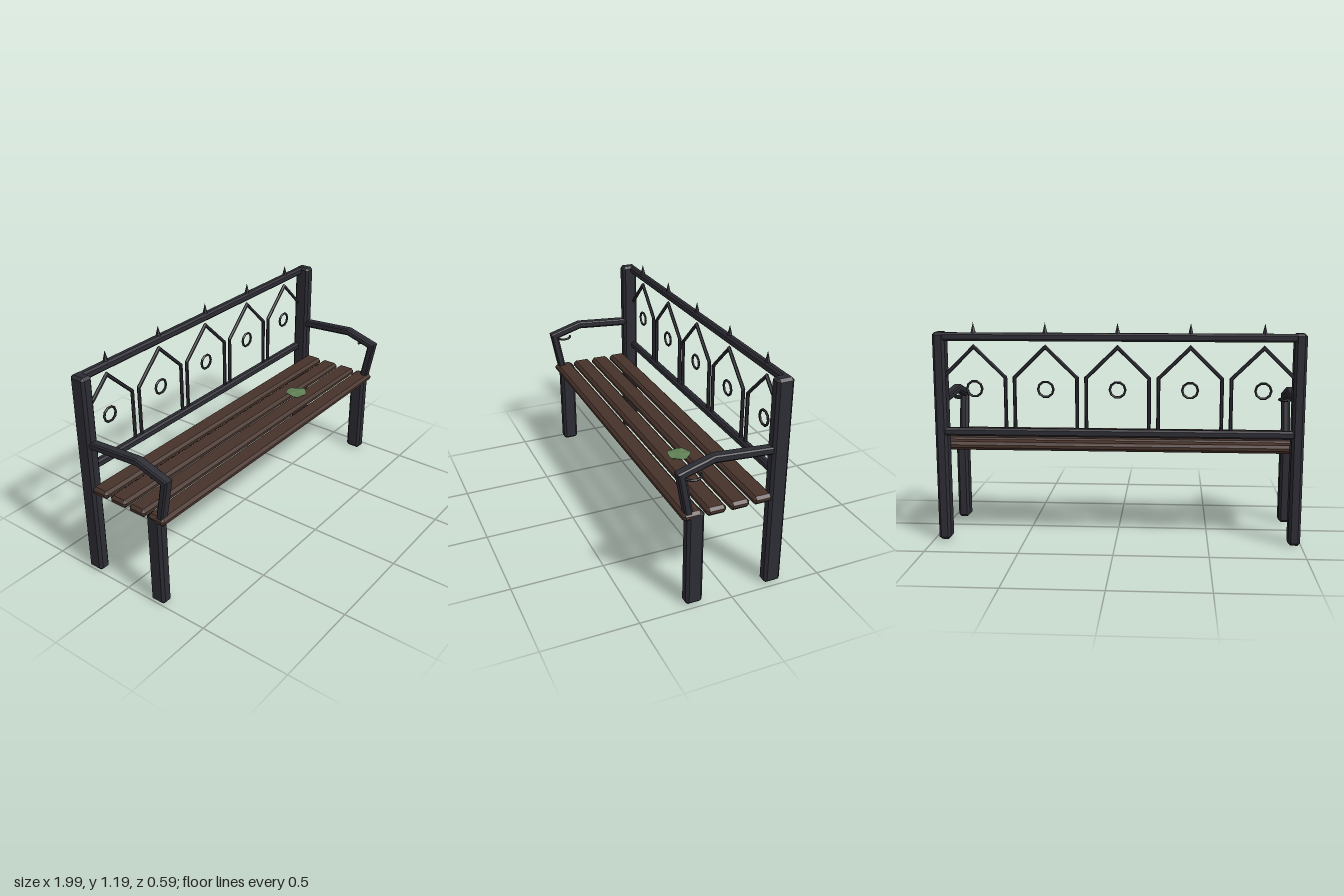
import * as THREE from 'three';
import { ConvexGeometry } from 'three/addons/geometries/ConvexGeometry.js';

const material = (name, color, extra = {}) => {
  const m = new THREE.MeshStandardMaterial({ color, flatShading: true, ...extra });
  m.name = name;
  return m;
};

// Box with every edge chamfered by c
function chamferBox(w, h, d, c) {
  const pts = [];
  for (const x of [-1, 1]) for (const y of [-1, 1]) for (const z of [-1, 1]) {
    const [a, b, e] = [w / 2, h / 2, d / 2];
    pts.push(
      new THREE.Vector3(x * a, y * (b - c), z * (e - c)),
      new THREE.Vector3(x * (a - c), y * b, z * (e - c)),
      new THREE.Vector3(x * (a - c), y * (b - c), z * e));
  }
  return new ConvexGeometry(pts);
}

// Sweep a [normal, depth] cross-section along a planar path with mitred corners
function sweep(path, section) {
  const P = path.map(p => new THREE.Vector2(...p));
  const dir = i => P[i + 1].clone().sub(P[i]).normalize();
  const rings = P.map((p, i) => {
    const d0 = dir(Math.max(i - 1, 0)), d1 = dir(Math.min(i, P.length - 2));
    const n0 = new THREE.Vector2(-d0.y, d0.x), n1 = new THREE.Vector2(-d1.y, d1.x);
    const m = n0.clone().add(n1).normalize();
    m.divideScalar(m.dot(n0));
    return section.map(([n, z]) => [p.x + m.x * n, p.y + m.y * n, z]);
  });
  const pos = [], k = section.length;
  const tri = (...v) => v.forEach(q => pos.push(...q));
  for (let i = 0; i < rings.length - 1; i++) for (let j = 0; j < k; j++) {
    const a = rings[i], b = rings[i + 1], l = (j + 1) % k;
    tri(a[j], a[l], b[l]);
    tri(a[j], b[l], b[j]);
  }
  const first = rings[0], last = rings[rings.length - 1];
  for (let j = 1; j < k - 1; j++) {
    tri(first[0], first[j + 1], first[j]);
    tri(last[0], last[j], last[j + 1]);
  }
  const g = new THREE.BufferGeometry();
  g.setAttribute('position', new THREE.Float32BufferAttribute(pos, 3));
  g.computeVertexNormals();
  return g;
}

export function createModel() {
  const model = new THREE.Group();
  model.name = 'bench';
  const iron = material('dark iron', 0x2c2c34);
  const wood = material('brown wood', 0x46322a);
  const green = material('leaf green', 0x5f8055, { side: THREE.DoubleSide });

  const add = (name, geometry, mat, x = 0, y = 0, z = 0) => {
    const mesh = new THREE.Mesh(geometry, mat);
    mesh.name = name;
    mesh.position.set(x, y, z);
    model.add(mesh);
    return mesh;
  };
  const cx = -0.01, backZ = -0.27;

  // Seat slats
  const slat = chamferBox(1.97, 0.045, 0.106, 0.015);
  for (const z of [0.212, 0.087, -0.039, -0.165]) add('seatSlat', slat, wood, cx, 0.512, z);

  // Legs, armrests and the small half-ring curls under them
  const backPost = chamferBox(0.065, 1.14, 0.092, 0.014);
  const frontLeg = chamferBox(0.065, 0.528, 0.09, 0.014);
  const arm = sweep(
    [[0.228, 0.525], [0.268, 0.738], [0.1, 0.789], [-0.22, 0.766]],
    [[0.022, -0.011], [0.022, 0.011], [0.009, 0.025], [-0.015, 0.025],
      [-0.022, 0.018], [-0.022, -0.018], [-0.015, -0.025], [0.009, -0.025]]);
  const curl = new THREE.TorusGeometry(0.045, 0.007, 5, 6, Math.PI);
  curl.rotateZ(-Math.PI / 2).rotateX(Math.PI / 2);
  for (const s of [-1, 1]) {
    const x = cx + s * 0.953;
    add('backPost', backPost, iron, x, 0.57, -0.247);
    add('frontLeg', frontLeg, iron, x, 0.264, 0.195);
    add('armrest', arm, iron, x).rotation.y = -Math.PI / 2;
    add('armrestCurl', curl, iron, x, 0.722, 0.21);
  }

  // Back rails
  const rail = chamferBox(1.91, 0.044, 0.04, 0.01);
  add('topRail', rail, iron, cx, 1.116, backZ);
  add('lowerRail', rail, iron, cx, 0.604, backZ);

  // Pointed arches with rings, each topped by a spike
  const r = 0.01;
  const hex = Array.from({ length: 6 }, (_, i) => {
    const a = i * Math.PI / 3;
    return [r * Math.cos(a), r * Math.sin(a)];
  });
  const arch = sweep([[-0.167, 0.6], [-0.167, 0.9], [0, 1.063], [0.167, 0.9], [0.167, 0.6]], hex);
  const ring = new THREE.TorusGeometry(0.041, 0.007, 5, 10);
  const spike = new THREE.ConeGeometry(0.018, 0.07, 6);
  for (let i = -2; i <= 2; i++) {
    const x = cx + i * 0.383;
    add('backArch', arch, iron, x, 0, backZ);
    add('backRing', ring, iron, x, 0.838, backZ);
    add('spike', spike, iron, x, 1.157, backZ);
  }

  // Fallen leaf: a ragged, gently domed disc
  const leaf = new THREE.CylinderGeometry(0.062, 0.055, 0.006, 14, 1);
  const p = leaf.attributes.position;
  for (let i = 0; i < p.count; i++) {
    const x = p.getX(i), z = p.getZ(i), a = Math.atan2(z, x), d = Math.hypot(x, z);
    const k = 1 + 0.07 * Math.sin(3 * a + 1) + 0.05 * Math.cos(5 * a);
    p.setXYZ(i, x * k, p.getY(i) + 0.006 - d * 0.1 + d * 0.06 * Math.sin(4 * a), z * k);
  }
  leaf.computeVertexNormals();
  add('leaf', leaf, green, 0.452, 0.547, 0.045);

  return model;
}
